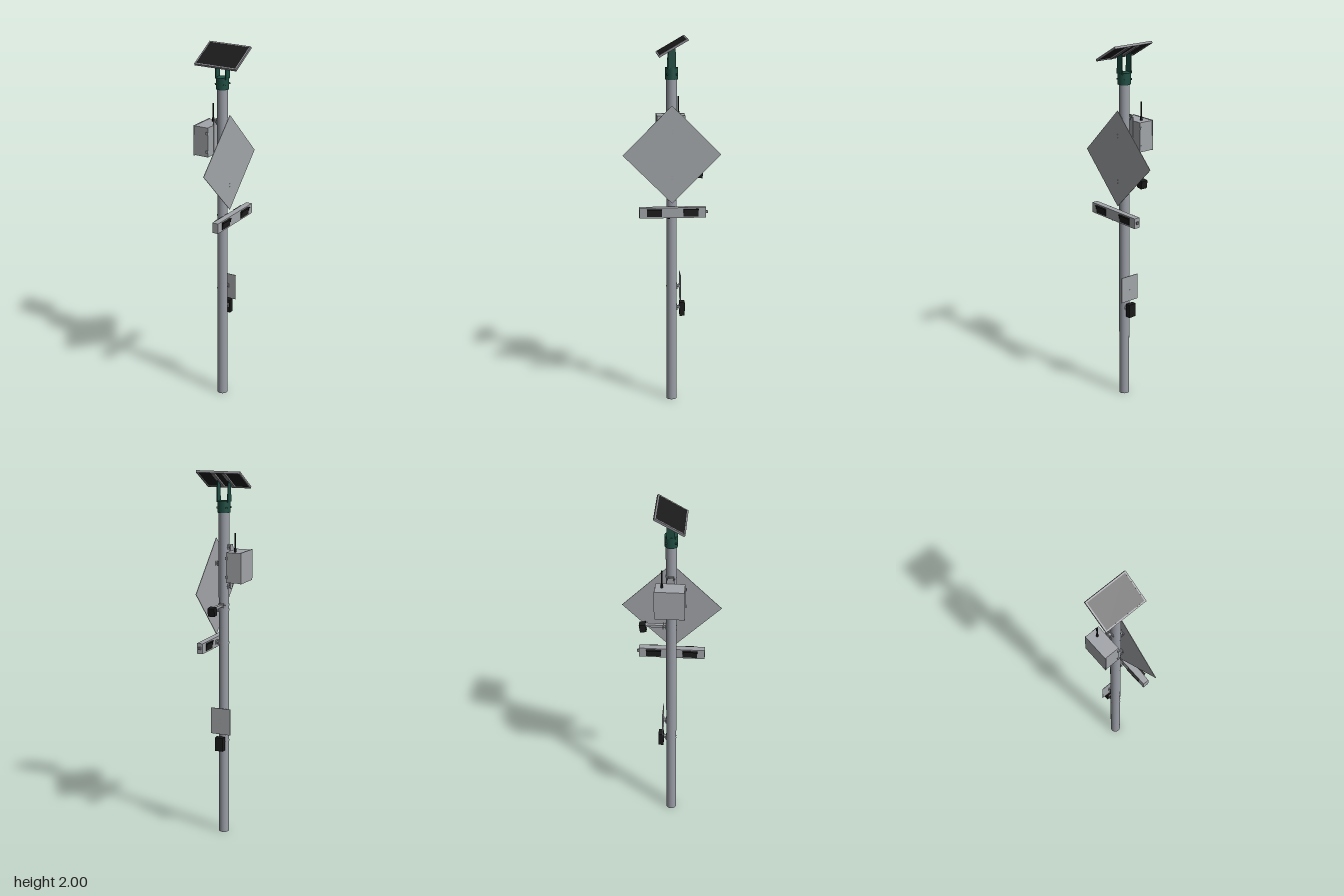
import * as THREE from 'three';

const mat = (name, color, side = THREE.FrontSide) => {
  const m = new THREE.MeshStandardMaterial({ color, side });
  m.name = name;
  return m;
};

export function createModel() {
  const root = new THREE.Group();
  root.name = 'solarSignPost';
  const steel = mat('galvanised steel', 0x9a9ea6, THREE.DoubleSide);
  const aluminium = mat('aluminium', 0xa2a5a9);
  const frameGrey = mat('frame grey', 0x85858b);
  const black = mat('black', 0x1a1a1a);
  const green = mat('dark green', 0x1f4d42);
  const PX = 0.002, R = 0.028;

  const add = (name, geo, material, x = 0, y = 0, z = 0, parent = root) => {
    const m = new THREE.Mesh(geo, material);
    m.name = name;
    m.position.set(x, y, z);
    parent.add(m);
    return m;
  };
  const box = (name, w, h, d, material, x, y, z, parent) =>
    add(name, new THREE.BoxGeometry(w, h, d), material, x, y, z, parent);
  const rod = (name, r, len, material, x, y, z, axis = 'y', parent = root) => {
    const g = new THREE.CylinderGeometry(r, r, len, 16);
    if (axis === 'x') g.rotateZ(Math.PI / 2);
    if (axis === 'z') g.rotateX(Math.PI / 2);
    return add(name, g, material, x, y, z, parent);
  };

  // Hollow pole
  add('pole', new THREE.CylinderGeometry(R, R, 1.8, 40, 1, true), steel, PX, 0.9, 0);

  // Strap round the pole with a flanged bracket, reaching out along local +x
  const clamp = (name, y, turn) => {
    const g = new THREE.Group();
    g.name = name;
    g.position.set(PX, y, 0);
    g.rotation.y = turn;
    add('strap', new THREE.CylinderGeometry(R + 0.001, R + 0.001, 0.008, 40, 1, true), steel, 0, 0, 0, g);
    box('saddle', 0.005, 0.026, 0.03, aluminium, 0.028, 0, 0, g);
    box('neck', 0.016, 0.012, 0.016, aluminium, 0.036, 0, 0, g);
    box('flange', 0.004, 0.024, 0.03, aluminium, 0.042, 0, 0, g);
    rod('bolt', 0.003, 0.04, steel, 0.03, 0, 0, 'z', g);
    root.add(g);
  };

  // Post-top collar with set bolts
  const collar = new THREE.Group();
  collar.name = 'postTopCollar';
  collar.position.set(PX, 1.81, 0);
  root.add(collar);
  add('sleeve', new THREE.CylinderGeometry(0.034, 0.034, 0.062, 40), green, 0, 0, 0, collar);
  for (let i = 0; i < 4; i++) {
    const a = Math.PI / 4 + i * Math.PI / 2;
    const b = rod('setBolt', 0.005, 0.008, green, Math.cos(a) * 0.036, -0.004, Math.sin(a) * 0.036, 'x', collar);
    b.rotation.y = -a;
  }

  // Upright plates with sloping tops that carry the panel
  const side = new THREE.Shape();
  [[-0.022, 1.835], [0.022, 1.835], [0.019, 1.945], [-0.019, 1.923]].forEach(([u, v], i) =>
    i ? side.lineTo(u, v) : side.moveTo(u, v));
  for (const s of [-1, 1]) {
    const g = new THREE.ExtrudeGeometry(side, { depth: 0.005, bevelEnabled: false });
    g.rotateY(Math.PI / 2);
    add('panelUpright', g, green, PX + s * 0.03 - 0.0025, 0, 0);
  }

  // Tilted solar panel, open frame and rails beneath
  const panel = new THREE.Group();
  panel.name = 'solarPanel';
  panel.position.set(0.003, 1.951, -0.001);
  panel.rotation.x = Math.PI / 6;
  root.add(panel);
  const W = 0.247, L = 0.176;
  for (const s of [-1, 1]) {
    box('frameSide', 0.008, 0.012, L, frameGrey, s * (W / 2 - 0.004), 0, 0, panel);
    box('frameEnd', W - 0.016, 0.012, 0.008, frameGrey, 0, 0, s * (L / 2 - 0.004), panel);
    box('rail', 0.02, 0.01, L - 0.016, frameGrey, s * 0.03, -0.005, 0, panel);
  }
  box('solarCells', W - 0.016, 0.007, L - 0.016, black, 0, 0.002, 0, panel);

  // Equipment cabinet, aerial and cable glands
  box('cabinet', 0.082, 0.16, 0.152, aluminium, -0.083, 1.5, -0.001);
  box('cabinetDoor', 0.005, 0.164, 0.158, aluminium, -0.126, 1.5, -0.001);
  box('cabinetBackPlate', 0.004, 0.21, 0.04, aluminium, -0.041, 1.495, 0);
  rod('aerialBase', 0.006, 0.02, black, -0.08, 1.59, -0.042);
  rod('aerial', 0.004, 0.1, black, -0.08, 1.63, -0.042);
  for (const x of [-0.095, -0.065]) rod('cableGland', 0.007, 0.012, black, x, 1.415, 0);
  for (const s of [-1, 1]) for (const y of [1.45, 1.55])
    box('cabinetLatch', 0.012, 0.014, 0.006, aluminium, -0.045, y, s * 0.079);
  for (const y of [1.39, 1.6]) clamp('cabinetClamp', y, Math.PI);

  // Diamond sign plate
  const sign = box('diamondSign', 0.003, 0.3705, 0.3705, aluminium, 0.0465, 1.383, 0);
  sign.rotation.x = Math.PI / 4;
  for (const y of [1.26, 1.508]) {
    clamp('signClamp', y, 0);
    for (const s of [-1, 1]) rod('signBolt', 0.003, 0.004, steel, 0.048, y + s * 0.008, 0, 'x');
  }

  // Light bar, with lamps and hoods on both faces
  const bar = new THREE.Group();
  bar.name = 'lightBar';
  bar.position.set(0.064, 1.077, -0.001);
  root.add(bar);
  box('barBody', 0.034, 0.056, 0.356, aluminium, 0, 0, 0, bar);
  for (const face of [-1, 1]) for (const s of [-1, 1]) {
    box('lamp', 0.004, 0.04, 0.08, black, face * 0.018, 0, s * 0.098, bar);
    box('lampHood', 0.013, 0.003, 0.08, black, face * 0.0235, 0.0195, s * 0.098, bar);
    for (const e of [-1, 1])
      box('hoodCheek', 0.007, 0.02, 0.002, black, face * 0.02, 0.01, s * 0.098 + e * 0.039, bar);
  }
  box('endSensor', 0.013, 0.014, 0.01, frameGrey, 0, 0.002, -0.183, bar);
  rod('cableGland', 0.006, 0.01, black, 0, -0.031, 0.02, 'y', bar);
  clamp('barClamp', 1.08, 0);

  // Detector on a rear arm
  clamp('detectorClamp', 1.288, Math.PI / 2);
  box('detectorArm', 0.018, 0.014, 0.105, aluminium, 0.004, 1.288, -0.083);
  box('detectorBracket', 0.03, 0.024, 0.005, aluminium, 0.004, 1.284, -0.13);
  const detector = box('detector', 0.038, 0.044, 0.034, black, 0.004, 1.275, -0.15);
  detector.rotation.x = -0.15;

  // Small rear plate and control box below it
  box('rearPlate', 0.113, 0.146, 0.003, aluminium, 0.002, 0.648, -0.046);
  for (const s of [-1, 1]) rod('plateBolt', 0.003, 0.004, steel, 0.002, 0.648 + s * 0.01, -0.047, 'z');
  box('controlBox', 0.046, 0.076, 0.028, black, 0.002, 0.523, -0.057);
  for (const y of [0.53, 0.65]) clamp('rearClamp', y, Math.PI / 2);

  return root;
}
